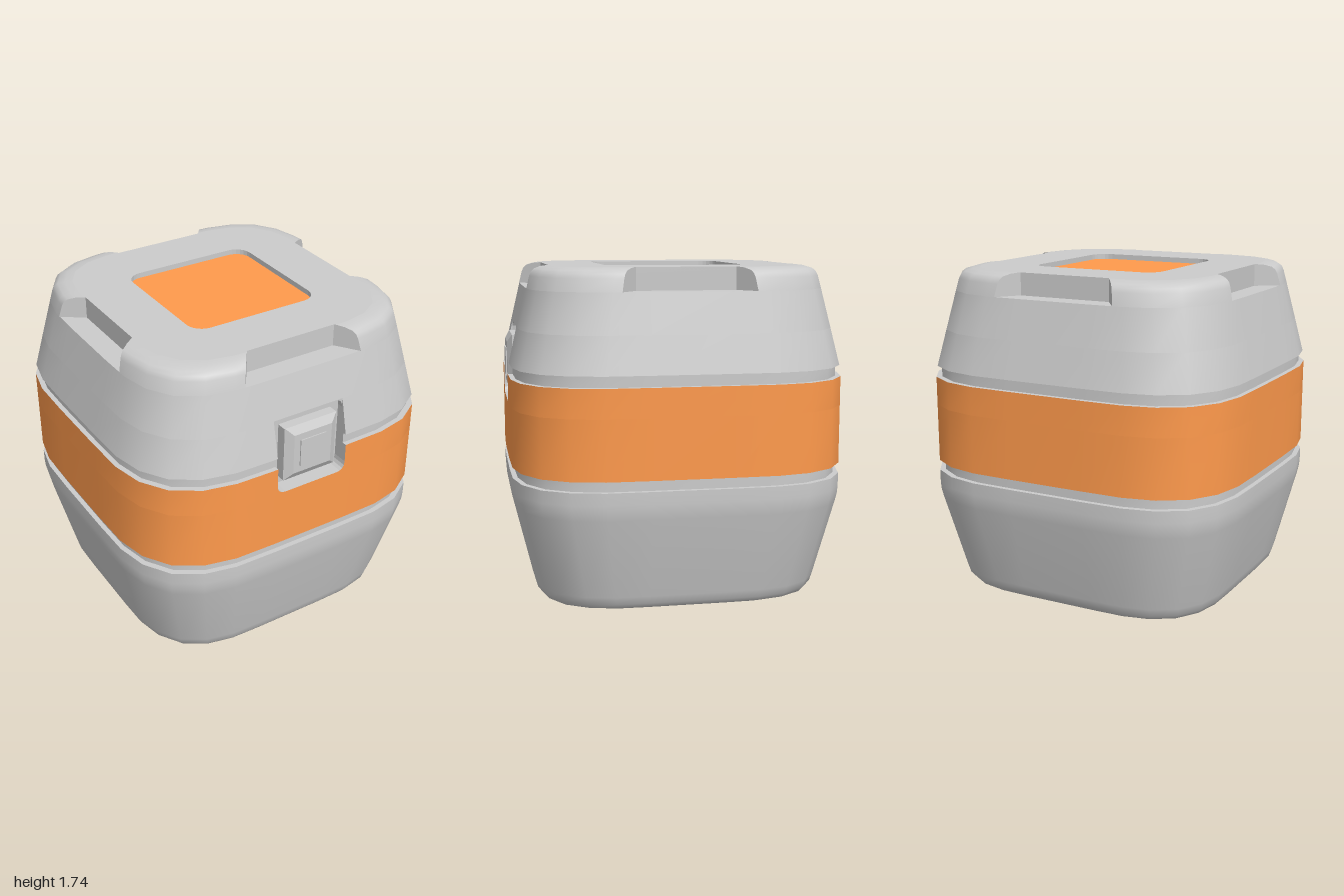
import * as THREE from 'three';
import { toCreasedNormals } from 'three/addons/utils/BufferGeometryUtils.js';

const grey = new THREE.MeshStandardMaterial({ color: 0xcccccc });
const greyThin = new THREE.MeshStandardMaterial({ color: 0xcccccc, side: THREE.DoubleSide });
const orange = new THREE.MeshStandardMaterial({ color: 0xff9a4c });

const FLAT = 0.874; // half width of the body at its widest
const POCKET = { half: 0.205, low: 1.02, high: 1.42, floor: 0.79 };

// Rounded-square outline [x, z] at a given scale; notched = handle cut-outs in all four sides
function ring(s, notched) {
  const w = FLAT * s;
  const out = 0.255 + (w - 0.655) * 0.7;
  const p = Math.min(POCKET.half, 0.4 * s);
  const middle = notched
    ? [[-out, w], [-0.255, 0.655], [0.255, 0.655], [out, w]]
    : [[-p, w], [p, w]];
  const scaled = (a) => a.map(([x, z]) => [x * s, z * s]);
  const side = [
    ...scaled([[-0.744, 0.744], [-0.605, 0.832], [-0.437, 0.869]]),
    ...middle,
    ...scaled([[0.437, 0.869], [0.605, 0.832]]),
  ];
  const points = [];
  for (let k = 0; k < 4; k++) {
    const c = Math.round(Math.cos(k * Math.PI / 2)), n = Math.round(Math.sin(k * Math.PI / 2));
    for (const [x, z] of side) points.push([x * c + z * n, z * c - x * n]);
  }
  return points;
}

// Skin through rows of [scale, y]; open leaves out the pocket segment of the front
function loft(rows, { notched = false, open = false } = {}) {
  const pos = [];
  const rings = rows.map(([s, y]) => ring(s, notched).map(([x, z]) => [x, y, z]));
  for (let i = 0; i < rings.length - 1; i++) {
    const lo = rings[i], hi = rings[i + 1], n = lo.length;
    for (let j = 0; j < n; j++) {
      if (open && j === 3) continue;
      const k = (j + 1) % n;
      pos.push(...lo[j], ...lo[k], ...hi[k], ...lo[j], ...hi[k], ...hi[j]);
    }
  }
  const g = new THREE.BufferGeometry();
  g.setAttribute('position', new THREE.Float32BufferAttribute(pos, 3));
  return toCreasedNormals(g, 0.7);
}

const outline = (points) => new THREE.Shape(points.map(([x, z]) => new THREE.Vector2(x, -z)));

function roundedSquare(h, r) {
  const s = new THREE.Shape();
  s.absarc(h - r, h - r, r, 0, Math.PI / 2);
  s.absarc(r - h, h - r, r, Math.PI / 2, Math.PI);
  s.absarc(r - h, r - h, r, Math.PI, Math.PI * 1.5);
  s.absarc(h - r, r - h, r, Math.PI * 1.5, Math.PI * 2);
  return s;
}

// Square frustum facing +z
function frustum(halfBack, halfFront, depth) {
  const g = new THREE.CylinderGeometry(halfFront * Math.SQRT2, halfBack * Math.SQRT2, depth, 4, 1);
  return g.rotateY(Math.PI / 4).rotateX(Math.PI / 2).toNonIndexed();
}

export function createModel() {
  const model = new THREE.Group();
  const body = new THREE.Group();
  body.name = 'container';
  body.rotation.y = THREE.MathUtils.degToRad(22);
  model.add(body);

  const add = (name, geometry, material, x = 0, y = 0, z = 0, parent = body) => {
    const mesh = new THREE.Mesh(geometry, material);
    mesh.name = name;
    mesh.position.set(x, y, z);
    parent.add(mesh);
    return mesh;
  };

  // Lower shell with the groove under the band
  add('lowerShell', loft([[0.7, 0], [0.8, 0.008], [0.835, 0.02], [0.857, 0.045], [0.87, 0.085],
    [0.988, 0.51], [0.997, 0.55], [1, 0.59], [1, 0.655], [0.97, 0.655], [0.97, 0.71], [1, 0.71]]), grey);
  add('base', new THREE.ShapeGeometry(outline(ring(0.7))).rotateX(Math.PI / 2), greyThin);

  // Coloured band, open behind the latch
  add('band', loft([[1, 0.71], [1, POCKET.low]]), orange);
  add('bandUpper', loft([[1, POCKET.low], [1, 1.17]], { open: true }), orange);

  // Upper groove and lid wall
  add('upperGroove', loft([[1, 1.17], [0.97, 1.17], [0.97, 1.228], [0.992, 1.228]], { open: true }), grey);
  add('lidLower', loft([[0.992, 1.228], [0.941, POCKET.high]], { open: true }), grey);
  add('lidUpper', loft([[0.941, POCKET.high], [0.886, 1.625]]), grey);

  // Lid rim with four handle notches, their floor and the top plate
  add('notchFloor', new THREE.ShapeGeometry(outline(ring(0.886))).rotateX(-Math.PI / 2), grey, 0, 1.625);
  add('lidRim', loft([[0.886, 1.625], [0.868, 1.69], [0.857, 1.712], [0.838, 1.727],
    [0.8, 1.738], [0.76, 1.742]], { notched: true }), grey);
  const top = outline(ring(0.76, true));
  top.holes.push(roundedSquare(0.365, 0.085));
  add('topPlate', new THREE.ExtrudeGeometry(top, { depth: 0.03, bevelEnabled: false, curveSegments: 3 })
    .rotateX(-Math.PI / 2), grey, 0, 1.712);
  add('topPanel', new THREE.ShapeGeometry(roundedSquare(0.366, 0.085), 3).rotateX(-Math.PI / 2),
    orange, 0, 1.714);

  // Latch pocket: back, side walls following the body profile, top and bottom
  const pocket = new THREE.Group();
  pocket.name = 'latchPocket';
  body.add(pocket);
  const { half, low, high, floor } = POCKET;
  const midY = (low + high) / 2, lidEdge = FLAT * 0.941;
  add('pocketBack', new THREE.PlaneGeometry(half * 2, high - low), grey, 0, midY, floor, pocket);
  const profile = [[floor, low], [FLAT, low], [FLAT, 1.17], [FLAT * 0.97, 1.17],
    [FLAT * 0.97, 1.228], [FLAT * 0.992, 1.228], [lidEdge, high], [floor, high]];
  const wall = new THREE.ShapeGeometry(new THREE.Shape(profile.map(([z, y]) => new THREE.Vector2(-z, y))))
    .rotateY(Math.PI / 2);
  for (const s of [-1, 1]) add('pocketSide', wall, greyThin, s * half, 0, 0, pocket);
  for (const [y, edge] of [[low, FLAT], [high, lidEdge]]) {
    add('pocketEnd', new THREE.PlaneGeometry(half * 2, edge - floor).rotateX(-Math.PI / 2), greyThin,
      0, y, (edge + floor) / 2, pocket);
  }

  // Rounded pocket corners
  const r = 0.05;
  for (const sx of [-1, 1]) for (const sy of [-1, 1]) {
    const c = new THREE.Shape();
    c.moveTo(0, 0);
    c.lineTo(-sx * r, 0);
    c.quadraticCurveTo(0, 0, 0, -sy * r);
    const depth = (sy > 0 ? lidEdge : FLAT) - floor;
    add('pocketCorner', new THREE.ExtrudeGeometry(c, { depth, bevelEnabled: false, curveSegments: 4 }),
      [sy > 0 ? grey : orange, grey], sx * half, sy > 0 ? high : low, floor, pocket);
  }

  // Latch: block, bevelled face and square button
  const latch = new THREE.Group();
  latch.name = 'latch';
  latch.position.set(0, 1.22, 0);
  body.add(latch);
  add('latchBlock', new THREE.BoxGeometry(0.31, 0.3, 0.07), grey, 0, 0, 0.81, latch);
  const face = frustum(0.153, 0.112, 0.025);
  face.computeVertexNormals();
  add('latchFace', face, grey, 0, 0, 0.8575, latch);
  add('latchButton', new THREE.BoxGeometry(0.15, 0.15, 0.02), grey, 0, 0, 0.866, latch);

  return model;
}
